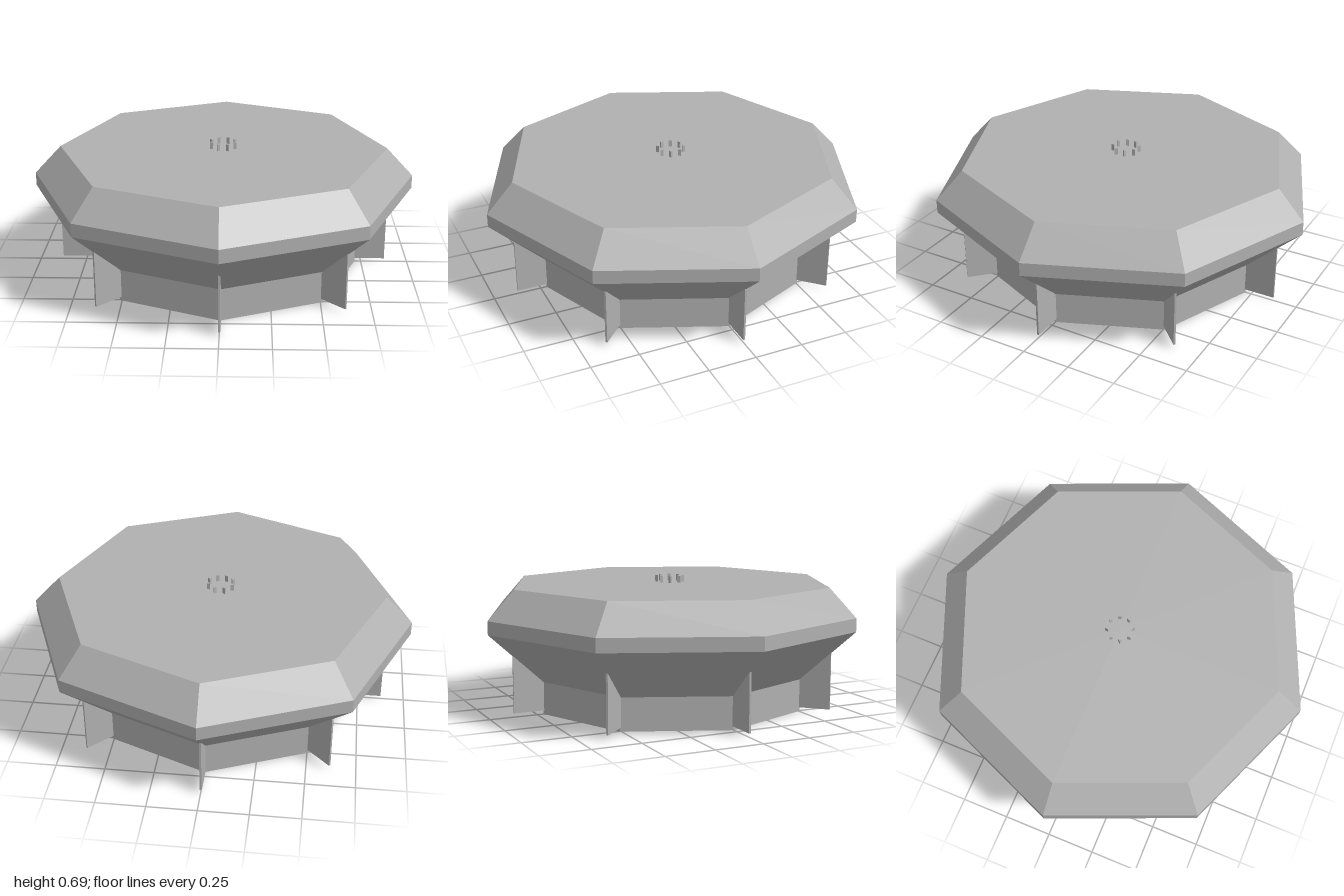
import * as THREE from 'three';

export function createModel() {
  const model = new THREE.Group();
  model.name = 'octagonalPlatform';
  const grey = new THREE.MeshStandardMaterial({ color: 0xb0b0b0, flatShading: true });
  grey.name = 'grey';

  const add = (name, geometry, parent = model) => {
    const mesh = new THREE.Mesh(geometry, grey);
    mesh.name = name;
    parent.add(mesh);
    return mesh;
  };

  // Eight-sided body: upright base, flared underside, rim and bevelled deck
  const profile = [[0, 0], [0.717, 0], [0.717, 0.168], [1, 0.43], [1, 0.5], [0.86, 0.65], [0, 0.65]];
  add('body', new THREE.LatheGeometry(profile.map(([r, y]) => new THREE.Vector2(r, y)), 8));

  const fins = new THREE.Group();
  fins.name = 'supportFins';
  const pins = new THREE.Group();
  pins.name = 'centrePins';
  model.add(fins, pins);

  for (let i = 0; i < 8; i++) {
    const angle = (i * Math.PI) / 4;

    // Thin fin at each corner of the base, running up into the flare
    const finShape = new THREE.BoxGeometry(0.01, 0.294, 0.275);
    finShape.translate(0, 0.167, 0.7375);
    add('supportFin', finShape, fins).rotation.y = angle;

    // Ring of small three-sided pins on the deck
    const pinShape = new THREE.CylinderGeometry(0.01, 0.01, 0.04, 3);
    pinShape.translate(0, 0.665, 0.066);
    add('centrePin', pinShape, pins).rotation.y = angle + Math.PI / 8;
  }
  return model;
}
